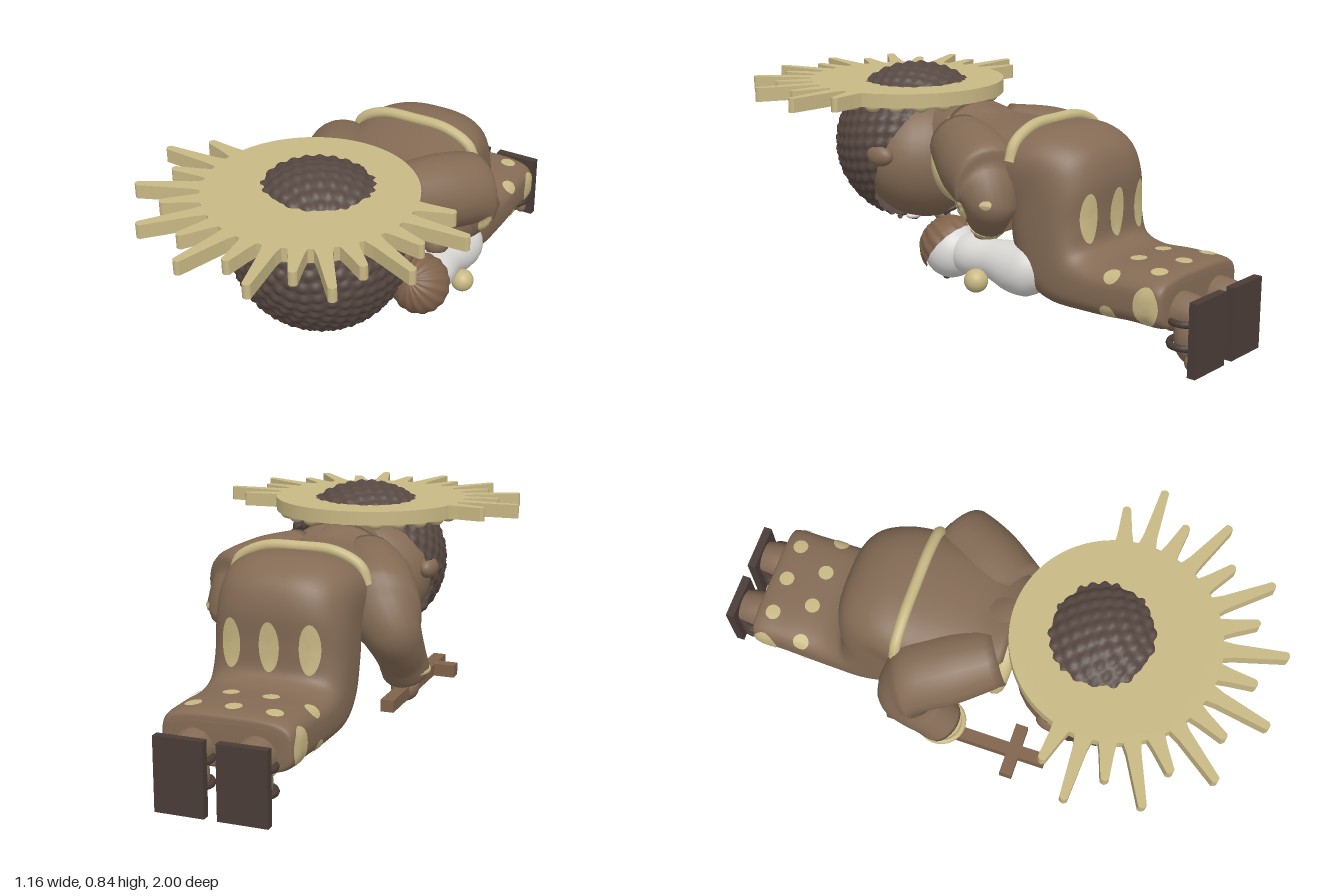
import * as THREE from 'three';

const V = (x, y, z) => new THREE.Vector3(x, y, z);
const mat = (name, color, side = THREE.FrontSide) => {
  const m = new THREE.MeshStandardMaterial({ color, side });
  m.name = name;
  return m;
};

// skin of quads through closed rings of points, capped at both ends
function loft(rings) {
  const n = rings.length, m = rings[0].length, pos = [], idx = [];
  rings.forEach(r => r.forEach(p => pos.push(p.x, p.y, p.z)));
  for (let i = 0; i < n - 1; i++) for (let j = 0; j < m; j++) {
    const a = i * m + j, b = i * m + (j + 1) % m;
    idx.push(a, b, a + m, b, b + m, a + m);
  }
  for (const i of [0, n - 1]) {
    const c = rings[i].reduce((s, p) => s.add(p), V(0, 0, 0)).divideScalar(m);
    const k = pos.length / 3;
    pos.push(c.x, c.y, c.z);
    for (let j = 0; j < m; j++) {
      const a = i * m + j, b = i * m + (j + 1) % m;
      if (i) idx.push(a, b, k); else idx.push(b, a, k);
    }
  }
  const g = new THREE.BufferGeometry();
  g.setAttribute('position', new THREE.Float32BufferAttribute(pos, 3));
  g.setIndex(idx);
  g.computeVertexNormals();
  return g;
}

// round limb along a curve; each entry is [x, y, z, radius]
function limb(pts, n = 28, m = 24) {
  const path = new THREE.CatmullRomCurve3(pts.map(p => V(p[0], p[1], p[2])));
  const rad = new THREE.CatmullRomCurve3(pts.map((p, i) => V(i, p[3], 0)));
  const f = path.computeFrenetFrames(n);
  return loft(Array.from({ length: n + 1 }, (_, i) => {
    const c = path.getPoint(i / n), r = rad.getPoint(i / n).y;
    return Array.from({ length: m }, (_, j) => {
      const a = j / m * Math.PI * 2;
      return c.clone().addScaledVector(f.normals[i], r * Math.cos(a)).addScaledVector(f.binormals[i], r * Math.sin(a));
    });
  }));
}

// seated robe: each station is [back z, back y, front z, front y, half width]
function robeGeometry() {
  const st = [[-0.885, 0.27, -0.885, 0.15, 0.19], [-0.875, 0.30, -0.875, 0.125, 0.222], [-0.75, 0.31, -0.75, 0.12, 0.23],
    [-0.60, 0.31, -0.56, 0.11, 0.235], [-0.55, 0.34, -0.39, 0.115, 0.24], [-0.543, 0.43, -0.27, 0.17, 0.24],
    [-0.547, 0.56, -0.21, 0.29, 0.24], [-0.51, 0.65, -0.20, 0.37, 0.24], [-0.40, 0.705, -0.18, 0.41, 0.25],
    [-0.22, 0.70, -0.11, 0.42, 0.25], [-0.02, 0.695, 0.0, 0.42, 0.24], [0.09, 0.73, 0.09, 0.42, 0.19]];
  const curve = f => new THREE.CatmullRomCurve3(st.map(f));
  const back = curve(s => V(s[4], s[1], s[0])), front = curve(s => V(s[4], s[3], s[2]));
  const pw = (t, e) => Math.sign(t) * Math.abs(t) ** e;
  return loft(Array.from({ length: 67 }, (_, i) => {
    const t = i / 66, b = back.getPoint(t), f = front.getPoint(t);
    const c = b.clone().add(f).multiplyScalar(0.5), v = b.clone().sub(f).multiplyScalar(0.5);
    const e = 0.5 + 0.4 * t;
    return Array.from({ length: 56 }, (_, j) => {
      const a = j / 56 * Math.PI * 2, s = pw(Math.sin(a), e);
      return V(b.x * pw(Math.cos(a), e), c.y + v.y * s, c.z + v.z * s);
    });
  }));
}

// thin oval that follows the surface it is projected on
function spotGeometry(target, from, dir, rx, ry) {
  const d = V(...dir).normalize(), n = d.clone().negate(), ray = new THREE.Raycaster();
  const v = Math.abs(d.y) > 0.7 ? V(0, 0, 1) : V(0, 1, 0);
  const u = v.clone().cross(n).normalize();
  const reach = o => {
    ray.set(o, d);
    const hit = ray.intersectObject(target)[0];
    return hit ? hit.distance : null;
  };
  const start = V(...from), middle = reach(start);
  const g = new THREE.RingGeometry(0.001, 1, 24, 3), p = g.attributes.position;
  for (let i = 0; i < p.count; i++) {
    const o = start.clone().addScaledVector(u, p.getX(i) * rx).addScaledVector(v, p.getY(i) * ry);
    o.addScaledVector(d, (reach(o) ?? middle) - 0.004);
    p.setXYZ(i, o.x, o.y, o.z);
  }
  g.computeVertexNormals();
  return g;
}

// hair cap covered with evenly spread curls
function curlyHair() {
  const g = new THREE.SphereGeometry(1, 150, 84, 0, Math.PI * 2, 0, 1.9);
  const N = 560, curls = [];
  for (let i = 0; i < N; i++) {
    const y = 1 - 2 * (i + 0.5) / N, r = Math.sqrt(1 - y * y), a = i * 2.399963;
    curls.push(V(r * Math.cos(a), y, r * Math.sin(a)));
  }
  const p = g.attributes.position, v = V(0, 0, 0);
  for (let i = 0; i < p.count; i++) {
    v.fromBufferAttribute(p, i);
    let d = -1;
    for (const c of curls) d = Math.max(d, v.dot(c));
    const q = Math.min(1, Math.acos(Math.min(1, d)) / 0.095);
    v.multiplyScalar(0.288 + 0.005 * (1 + Math.cos(q * Math.PI)));
    p.setXYZ(i, v.x, v.y, v.z);
  }
  g.computeVertexNormals();
  return g;
}

// sunburst disc with alternating long and short rays on its outer half
function haloGeometry() {
  const s = new THREE.Shape(), R = 0.36, step = Math.PI / 14, h = 0.085;
  const pt = (a, r, w = 0) => [r * Math.cos(a) - w * Math.sin(a), r * Math.sin(a) + w * Math.cos(a)];
  for (let i = -1; i <= 15; i++) {
    const a = i * step, L = i % 2 ? 0.49 : 0.58;
    if (i < 0) s.moveTo(...pt(a - h, R)); else s.lineTo(...pt(a - h, R));
    s.lineTo(...pt(a, R + 0.035, -0.024));
    s.lineTo(...pt(a, L - 0.008, -0.014));
    s.quadraticCurveTo(...pt(a, L + 0.008), ...pt(a, L - 0.008, 0.014));
    s.lineTo(...pt(a, R + 0.035, 0.024));
    s.lineTo(...pt(a + h, R));
  }
  s.absarc(0, 0, R, 15 * step + h, Math.PI * 2 - step - h, false);
  return new THREE.ExtrudeGeometry(s, { depth: 0.05, bevelEnabled: false, curveSegments: 40 }).rotateX(Math.PI / 2);
}

export function createModel() {
  const root = new THREE.Group();
  const brown = mat('robe and skin brown', 0x846b55, THREE.DoubleSide), dark = mat('dark hair', 0x574842, THREE.DoubleSide);
  const gold = mat('gold', 0xc8b884), white = mat('white', 0xd9d7d4), sole = mat('sandal brown', 0x4a3c37);
  const wood = mat('wood brown', 0x7f624b);
  const add = (name, geo, m, x = 0, y = 0, z = 0) => {
    const o = new THREE.Mesh(geo, m);
    o.name = name;
    o.position.set(x, y, z);
    root.add(o);
    return o;
  };
  const ball = (name, m, c, rx, ry = rx, rz = rx) => {
    const o = add(name, new THREE.SphereGeometry(1, 32, 20), m, ...c);
    o.scale.set(rx, ry, rz);
    return o;
  };
  const box = (name, m, c, w, h, d) => add(name, new THREE.BoxGeometry(w, h, d), m, ...c);

  const robe = add('robe', robeGeometry(), brown);
  add('rightArm', limb([[-0.12, 0.595, 0.06, 0.11], [-0.21, 0.56, -0.10, 0.135], [-0.285, 0.505, -0.235, 0.13],
    [-0.32, 0.41, -0.215, 0.098], [-0.32, 0.33, -0.14, 0.086], [-0.32, 0.265, -0.09, 0.085]]), brown);
  const leftArm = add('leftArm', limb([[0.12, 0.595, 0.06, 0.11], [0.21, 0.56, -0.10, 0.135], [0.28, 0.52, -0.225, 0.128],
    [0.28, 0.47, -0.215, 0.108], [0.24, 0.415, -0.18, 0.085], [0.195, 0.365, -0.145, 0.068]]), brown);
  add('leftCuff', limb([[0.21, 0.38, -0.152, 0.074], [0.19, 0.358, -0.138, 0.07]], 4), gold);

  // painted spots
  root.updateMatrixWorld(true);
  const spot = (target, from, dir, rx, ry = rx) => add('robeSpot', spotGeometry(target, from, dir, rx, ry), gold);
  for (const x of [-0.14, 0, 0.14]) {
    spot(robe, [x, 1, -0.82], [0, -1, 0], 0.028);
    spot(robe, [x, 0.43, -1.5], [0, 0, 1], 0.036, 0.085);
  }
  for (const x of [-0.07, 0.07]) spot(robe, [x, 1, -0.69], [0, -1, 0], 0.028);
  for (const x of [-0.14, 0, 0.14]) spot(robe, [x, -1, -0.78], [0, 1, 0], 0.022);
  for (const x of [0.02, 0.12]) spot(robe, [x, -1, -0.62], [0, 1, 0], 0.022);
  for (const s of [-1, 1]) {
    spot(robe, [s, 0.21, -0.83], [-s, 0, 0], 0.046, 0.066);
    spot(robe, [s, 0.155, -0.68], [-s, 0, 0], 0.03);
    spot(robe, [s * 0.8, 0.9, -0.685], [-s, -1.05, 0], 0.03);
  }
  spot(leftArm, [1.33, 0.44, 0.33], [-1, 0, -0.5], 0.03, 0.038);
  spot(leftArm, [1, 0.47, -0.27], [-1, 0, 0], 0.016);

  // cord hanging over the lap and down the front
  add('lapCord', limb([[-0.09, 0.275, -0.215, 0.014], [-0.09, 0.24, -0.225, 0.024], [-0.09, 0.19, -0.25, 0.024],
    [-0.09, 0.165, -0.265, 0.012]], 14, 16), gold);
  add('frontCord', limb([[-0.11, 0.12, -0.40, 0.015], [-0.11, 0.112, -0.5, 0.02], [-0.11, 0.115, -0.7, 0.025],
    [-0.11, 0.118, -0.83, 0.03]], 14, 16), gold);

  // back band and collar
  add('backBand', new THREE.TubeGeometry(new THREE.CatmullRomCurve3([[-0.245, 0.60], [-0.22, 0.66], [-0.13, 0.705], [0, 0.712],
    [0.13, 0.705], [0.22, 0.66], [0.245, 0.60]].map(p => V(p[0], p[1], -0.28))), 40, 0.02, 10), gold);
  const collar = add('collar', new THREE.TorusGeometry(0.17, 0.036, 12, 48), gold, 0, 0.53, 0.077);
  collar.scale.set(1.15, 0.9, 1);
  collar.rotation.x = 0.12;

  // head
  ball('face', brown, [0, 0.50, 0.32], 0.275, 0.235, 0.22);
  add('neck', limb([[0, 0.56, 0, 0.13], [0, 0.585, 0.1, 0.145], [0, 0.57, 0.2, 0.15]]), brown);
  const hair = add('hair', curlyHair(), dark, 0, 0.543, 0.387);
  hair.rotation.x = Math.PI / 2 - 0.43;
  hair.scale.x = 1.05;
  ball('nose', brown, [0, 0.273, 0.26], 0.028, 0.022, 0.033);
  const mouth = add('mouth', new THREE.TorusGeometry(0.045, 0.008, 8, 20, Math.PI), sole, 0, 0.295, 0.205);
  mouth.rotation.x = -Math.PI / 2 + 0.75;
  for (const s of [-1, 1]) {
    ball('ear', brown, [s * 0.275, 0.54, 0.31], 0.035, 0.04, 0.06);
    ball('eye', white, [s * 0.095, 0.282, 0.315], 0.035, 0.014, 0.024);
    ball('pupil', sole, [s * 0.095, 0.271, 0.315], 0.015, 0.006, 0.017);
    const brow = add('brow', new THREE.TorusGeometry(0.05, 0.009, 8, 20, 2), dark, s * 0.095, 0.277, 0.32);
    brow.rotation.set(Math.PI / 2, 0, 0.57);
  }

  // halo with beads underneath
  add('halo', haloGeometry(), gold, 0, 0.775, 0.434);
  for (let i = 0; i < 24; i++) {
    const a = (i + 0.5) / 24 * Math.PI * 2;
    ball('haloBead', gold, [0.325 * Math.cos(a), 0.726, 0.434 + 0.325 * Math.sin(a)], 0.03, 0.024, 0.03);
  }

  // right cuff, hand and cross
  const cuff = add('cuff', new THREE.TorusGeometry(0.08, 0.01, 10, 32), gold, -0.32, 0.265, -0.09);
  cuff.rotation.x = Math.PI / 2;
  add('innerCuff', new THREE.CylinderGeometry(0.072, 0.045, 0.05, 24), gold, -0.32, 0.242, -0.09);
  ball('rightHand', brown, [-0.32, 0.198, -0.09], 0.05, 0.05, 0.05);
  box('crossBeam', wood, [-0.325, 0.19, 0.005], 0.046, 0.042, 0.61);
  box('crossBar', wood, [-0.325, 0.19, 0.19], 0.195, 0.045, 0.046);

  // small child held in the left arm
  add('childBody', limb([[0.20, 0.23, 0.0, 0.06], [0.20, 0.23, -0.07, 0.075], [0.195, 0.23, -0.16, 0.07],
    [0.185, 0.22, -0.25, 0.09], [0.175, 0.22, -0.32, 0.096], [0.165, 0.23, -0.37, 0.07], [0.165, 0.23, -0.392, 0.02]]), white);
  ball('childFace', white, [0.2, 0.228, 0.025], 0.1);
  const ridges = new THREE.SphereGeometry(0.11, 96, 32, 0, Math.PI * 2, 0, 1.62);
  const p = ridges.attributes.position;
  for (let i = 0; i < p.count; i++) {
    const k = 1 + 0.02 * Math.cos(Math.atan2(p.getZ(i), p.getX(i)) * 16) * Math.min(1, Math.hypot(p.getX(i), p.getZ(i)) * 14);
    p.setXYZ(i, p.getX(i) * k, p.getY(i) * k, p.getZ(i) * k);
  }
  ridges.computeVertexNormals();
  const childHair = add('childHair', ridges, wood, 0.2, 0.238, 0.032);
  childHair.rotation.x = 0.95;
  for (const s of [-1, 1]) ball('childEye', sole, [0.2 + s * 0.035, 0.137, 0.02], 0.011, 0.008, 0.013);
  ball('childSleeve', white, [0.13, 0.195, -0.11], 0.045, 0.05, 0.06);
  ball('childOrb', gold, [0.275, 0.168, -0.155], 0.042);
  ball('leftHand', brown, [0.18, 0.325, -0.12], 0.05, 0.045, 0.05);

  // feet in sandals
  for (const s of [-1, 1]) {
    const x = s * 0.107;
    box('sandalSole', sole, [x, 0.125, -0.985], 0.17, 0.25, 0.03);
    ball('foot', brown, [x, 0.115, -0.93], 0.07, 0.1, 0.055);
    add('ankle', limb([[x, 0.18, -0.86, 0.07], [x, 0.18, -0.92, 0.065], [x, 0.17, -0.97, 0.06]], 10), brown);
    for (const y of [0.085, 0.165]) {
      const strap = add('sandalStrap', new THREE.TorusGeometry(0.073, 0.012, 8, 28), sole, x, y, -0.921);
      strap.rotation.x = Math.PI / 2;
      strap.scale.y = 0.85;
    }
    for (const t of [-1, 0, 1]) ball('toe', brown, [x + t * 0.042, 0.035, -0.955], 0.022, 0.026, 0.02);
  }
  return root;
}
